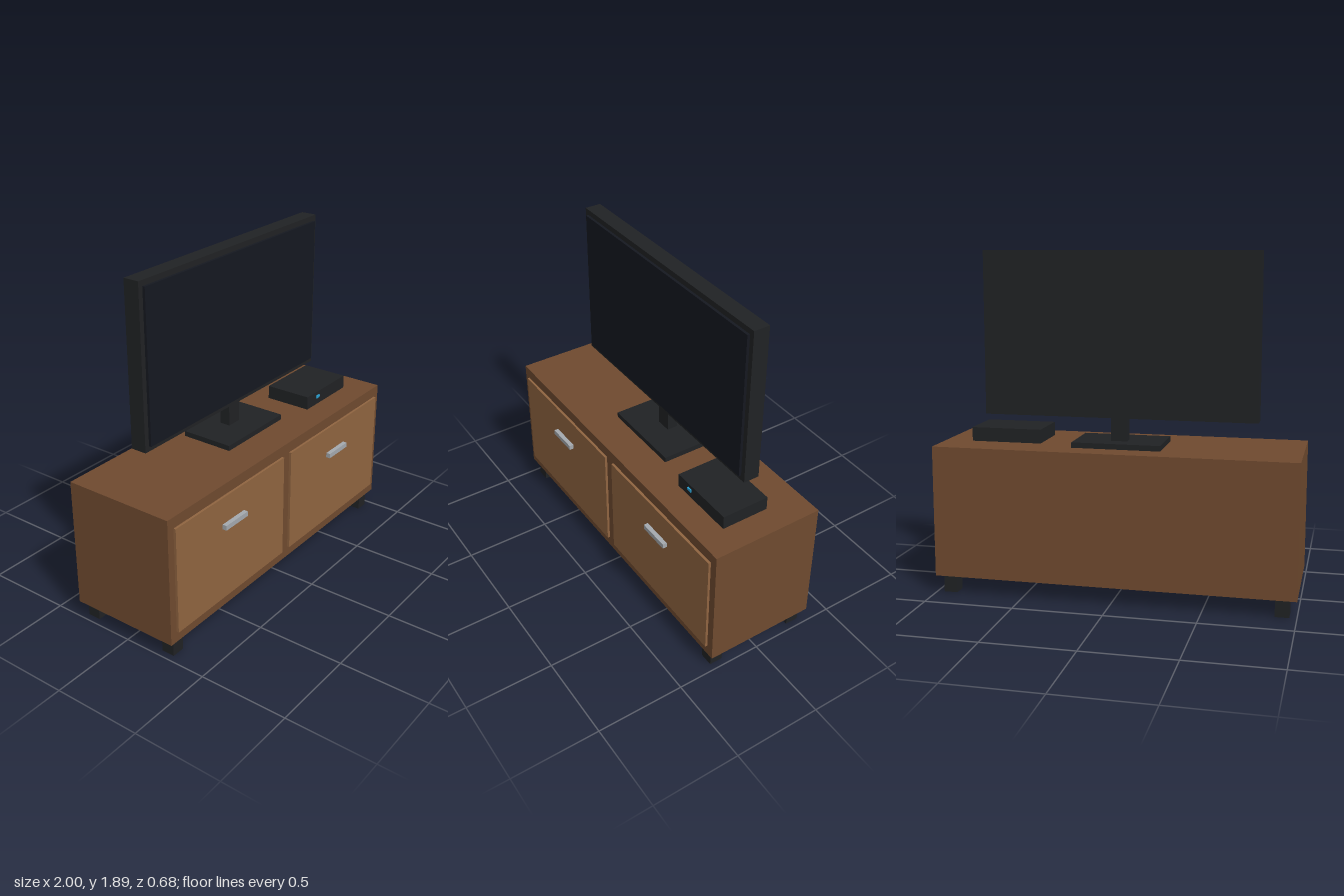
import * as THREE from 'three';

const mat = (color) => new THREE.MeshStandardMaterial({ color });

// Box given by its extents along each axis
function block(name, material, [x0, x1], [y0, y1], [z0, z1]) {
  const mesh = new THREE.Mesh(new THREE.BoxGeometry(x1 - x0, y1 - y0, z1 - z0), material);
  mesh.position.set((x0 + x1) / 2, (y0 + y1) / 2, (z0 + z1) / 2);
  mesh.name = name;
  return mesh;
}

export function createModel() {
  const wood = mat(0x6f4a2f);
  const doorWood = mat(0x8f6440);
  const black = mat(0x202224);
  const glass = mat(0x151820);
  const metal = mat(0xa4a9ae);
  const blue = mat(0x2a9fd0);

  const model = new THREE.Group();
  model.name = 'televisionOnCabinet';

  // Cabinet body with two doors, handles and four feet
  const cabinet = new THREE.Group();
  cabinet.name = 'cabinet';
  cabinet.add(block('cabinetBody', wood, [-1, 1], [0.098, 0.832], [-0.342, 0.303]));
  for (const s of [-1, 1]) {
    const side = s > 0 ? 'left' : 'right';
    const span = (mid, width) => [s * mid - width / 2, s * mid + width / 2];
    cabinet.add(block(side + 'Door', doorWood, span(0.495, 0.922), [0.16, 0.77], [0.293, 0.317]));
    cabinet.add(block(side + 'Handle', metal, span(0.495, 0.184), [0.588, 0.616], [0.315, 0.342]));
    cabinet.add(block(side + 'FrontFoot', black, span(0.922, 0.076), [0, 0.1], [0.205, 0.281]));
    cabinet.add(block(side + 'BackFoot', black, span(0.922, 0.076), [0, 0.1], [-0.317, -0.241]));
  }
  model.add(cabinet);

  // Television: stand, neck, casing and raised screen
  const television = new THREE.Group();
  television.name = 'television';
  television.add(
    block('standBase', black, [-0.246, 0.246], [0.832, 0.862], [-0.205, 0.101]),
    block('standNeck', black, [-0.045, 0.045], [0.86, 0.995], [-0.112, -0.05]),
    block('casing', black, [-0.761, 0.761], [0.99, 1.895], [-0.127, -0.035]),
    block('screen', glass, [-0.733, 0.733], [1.02, 1.864], [-0.045, -0.02])
  );
  model.add(television);

  // Set-top box with a small indicator light
  const setTopBox = new THREE.Group();
  setTopBox.name = 'setTopBox';
  setTopBox.add(
    block('boxBody', black, [0.445, 0.845], [0.832, 0.91], [-0.126, 0.15]),
    block('indicatorLight', blue, [0.534, 0.566], [0.872, 0.888], [0.145, 0.157])
  );
  model.add(setTopBox);

  return model;
}
